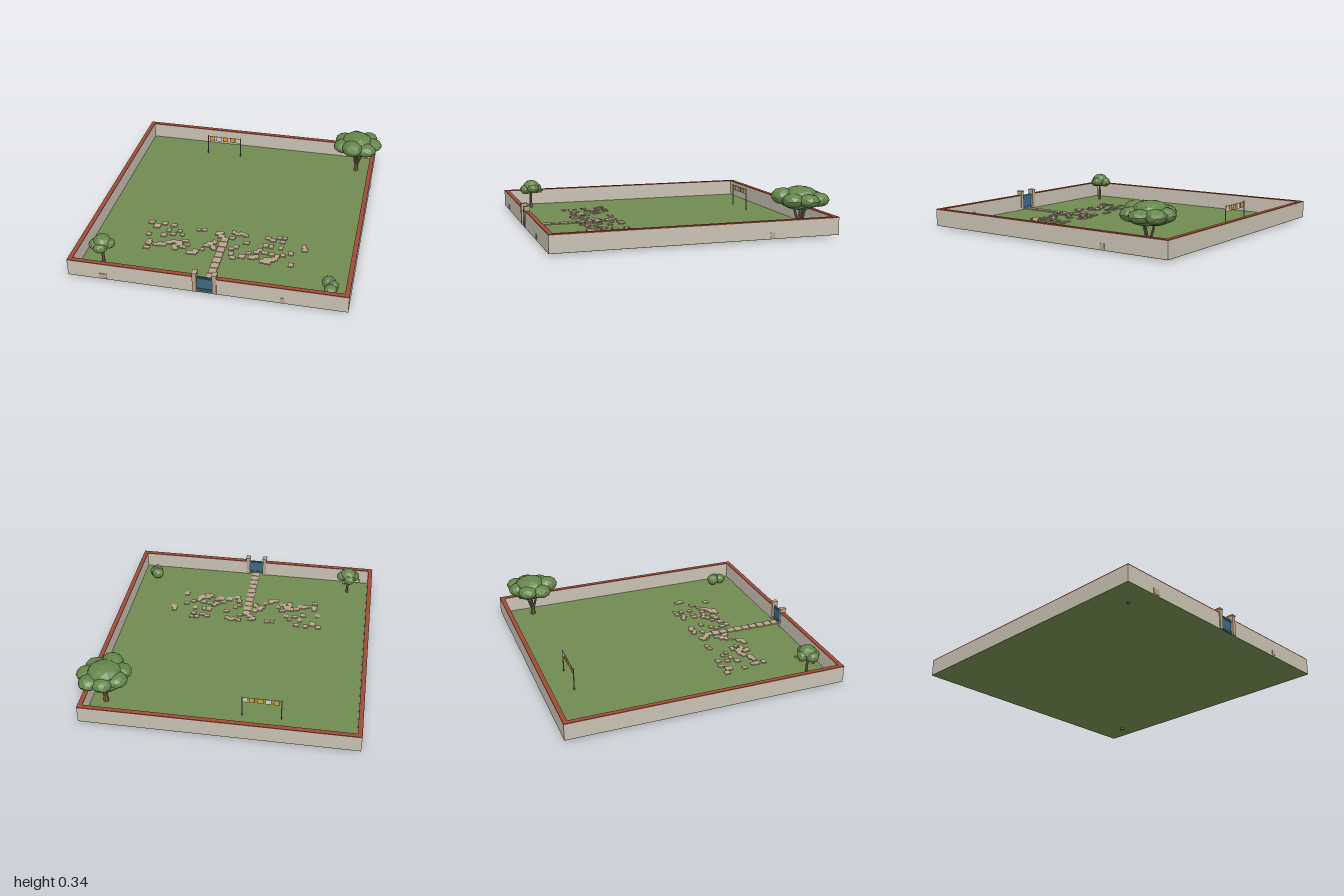
import * as THREE from 'three';

const mat = (name, color, flat = false) => {
  const m = new THREE.MeshStandardMaterial({ color, flatShading: flat });
  m.name = name;
  return m;
};

export function createModel() {
  const M = {
    wall: mat('plaster', 0xc9c1b3),
    roof: mat('terracotta', 0x9c4b38),
    grass: mat('grass', 0x708a50),
    gate: mat('gateBlue', 0x3f6884),
    stone: mat('sandstone', 0xb8a58a),
    leaf: mat('leaves', 0x64854a, true),
    bark: mat('bark', 0x7a6450, true),
    gold: mat('gold', 0xd6a030),
    cloth: mat('cloth', 0xd6d0c8),
    metal: mat('metal', 0x8a8290),
  };
  const model = new THREE.Group();
  model.name = 'walledGarden';
  const group = (name) => {
    const g = new THREE.Group();
    g.name = name;
    model.add(g);
    return g;
  };
  const add = (parent, name, geo, material, x, y, z) => {
    const m = new THREE.Mesh(geo, material);
    m.name = name;
    m.position.set(x, y, z);
    parent.add(m);
    return m;
  };
  // box given by its minimum and maximum corners
  const box = (parent, name, material, x0, x1, y0, y1, z0, z1) =>
    add(parent, name, new THREE.BoxGeometry(x1 - x0, y1 - y0, z1 - z0), material,
      (x0 + x1) / 2, (y0 + y1) / 2, (z0 + z1) / 2);
  // faceted ellipsoid
  const blob = (parent, name, material, [x, y, z, rx, ry, rz], turn = 0, detail = 1) => {
    const m = add(parent, name, new THREE.IcosahedronGeometry(1, detail), material, x, y, z);
    m.scale.set(rx, ry, rz);
    m.rotation.y = turn;
    return m;
  };
  // tapered limb between two points
  const limb = (parent, name, material, a, b, r0, r1) => {
    const p = new THREE.Vector3(...a), q = new THREE.Vector3(...b);
    const d = q.clone().sub(p);
    const mid = p.clone().add(q).multiplyScalar(0.5);
    const m = add(parent, name, new THREE.CylinderGeometry(r1, r0, d.length(), 6), material, mid.x, mid.y, mid.z);
    m.quaternion.setFromUnitVectors(new THREE.Vector3(0, 1, 0), d.normalize());
    return m;
  };
  let seed = 7;
  const rnd = () => (seed = (seed * 16807) % 2147483647) / 2147483647;

  // lawn
  const L = -0.98, R = 0.92, B = -1, F = 0.99, T = 0.032, G = 0.015;
  box(model, 'lawn', M.grass, L, R, 0.011, G, B, F);

  // walls with tiled coping, front wall left open for the gate
  const walls = group('boundaryWall');
  [
    ['backWall', L, R, B, B + T],
    ['leftWall', R - T, R, B + T, F - T],
    ['rightWall', L, L + T, B + T, F - T],
    ['frontWallRight', L, -0.09, F - T, F],
    ['frontWallLeft', 0.03, R, F - T, F],
  ].forEach(([name, x0, x1, z0, z1]) => {
    box(walls, name, M.wall, x0, x1, 0.0135, 0.127, z0, z1);
    box(walls, name + 'Coping', M.roof, x0, x1, 0.127, 0.134, z0, z1);
  });
  // repaired patches on the outside of the walls
  box(walls, 'wallPatch', M.stone, -0.757, -0.705, 0.02, 0.056, F, F + 0.004);
  box(walls, 'wallPatch', M.stone, 0.475, 0.506, 0.02, 0.056, F, F + 0.004);
  box(walls, 'wallPatch', M.stone, R, R + 0.004, 0.02, 0.056, -0.528, -0.492);

  // gate and its posts
  const gate = group('gate');
  for (const x of [-0.097, 0.038]) {
    box(gate, 'gatePost', M.stone, x - 0.014, x + 0.014, G, 0.157, 0.955, 0.997);
    box(gate, 'gatePostCap', M.stone, x - 0.017, x + 0.017, 0.157, 0.166, 0.952, 1);
  }
  box(gate, 'gatePanel', M.gate, -0.083, 0.024, 0.018, 0.13, 0.972, 0.981);
  for (const y of [0.03, 0.115])
    box(gate, 'gateRail', M.gate, -0.083, 0.024, y - 0.006, y + 0.006, 0.967, 0.986);

  // straight slab path from the gate
  const paving = group('paving');
  for (let i = 0; i < 10; i++) {
    const z = 0.39 + i * 0.062, w = 0.025 + rnd() * 0.007;
    box(paving, 'pathSlab', M.stone, -0.03 - w, -0.03 + w, G, 0.022, z - 0.028, z + 0.028);
  }
  // loose stones in rows: z, then the x of each stone (hundredths)
  const rows = {
    29: [-60, -50, -43, 2, 8, 35, 39],
    31: [-55, -24, -20, -7, 5, 11, 27],
    33: [-55, -9, 31, 38],
    36: [-45, -37, 2, 54, -6],
    40: [-34, -41, 13, 27, 31, 38, 55],
    43: [-58, -47, -9],
    46: [-30, -12, 7, 24, 46],
    49: [-38, -34, -14, -9, 4, 22, 28, 33, 41],
    51: [-55, -41, -33, -27, -8, 17, 37],
    54: [-55, -50, -47, -44, -36, -30, -16, 5, 23, 36],
    56: [-35, -20, 13, 20, 30, 34],
    59: [-55, -24, -21, 7, 32, 28, 48],
  };
  for (const [z, xs] of Object.entries(rows)) {
    for (const x of xs) {
      const w = 0.03 + rnd() * 0.02, d = 0.028 + rnd() * 0.016;
      add(paving, 'looseStone', new THREE.BoxGeometry(w, 0.008, d), M.stone,
        x / 100, G + 0.003 + rnd() * 0.001, z / 100 + (rnd() - 0.5) * 0.012);
    }
  }

  // washing line
  const line = group('washingLine');
  const lz = -0.78;
  for (const x of [-0.435, -0.165])
    limb(line, 'linePole', M.metal, [x, G, lz], [x, 0.183, lz], 0.004, 0.004);
  limb(line, 'line', M.metal, [-0.435, 0.177, lz], [-0.165, 0.177, lz], 0.0015, 0.0015);
  [[-0.4, 'gold'], [-0.345, 'cloth'], [-0.29, 'gold'], [-0.232, 'gold'], [-0.187, 'cloth']].forEach(([x, c]) =>
    box(line, 'hangingCloth', M[c], x - 0.02, x + 0.02, 0.138, 0.176, lz - 0.002, lz + 0.002));

  // large spreading tree
  const tree = group('largeTree');
  limb(tree, 'trunk', M.bark, [0.785, 0, -0.77], [0.785, 0.07, -0.77], 0.02, 0.015);
  [[0.74, -0.79], [0.785, -0.72], [0.835, -0.77], [0.79, -0.82]].forEach(([x, z]) =>
    limb(tree, 'branch', M.bark, [0.785, 0.045, -0.77], [x, 0.21, z], 0.011, 0.007));
  [
    [0.775, 0.275, -0.775, 0.12, 0.063, 0.12],
    [0.68, 0.255, -0.82, 0.075, 0.048, 0.075],
    [0.675, 0.25, -0.72, 0.075, 0.05, 0.075],
    [0.75, 0.27, -0.655, 0.085, 0.058, 0.076],
    [0.85, 0.25, -0.69, 0.085, 0.05, 0.075],
    [0.9, 0.25, -0.78, 0.073, 0.045, 0.075],
    [0.86, 0.25, -0.87, 0.075, 0.05, 0.07],
    [0.765, 0.25, -0.875, 0.075, 0.05, 0.072],
    [0.775, 0.225, -0.775, 0.15, 0.05, 0.13],
  ].forEach((b, i) => blob(tree, 'crown', M.leaf, b, i * 0.7));

  // small fruit tree
  const fruitTree = group('fruitTree');
  limb(fruitTree, 'trunk', M.bark, [-0.79, 0.003, 0.81], [-0.79, 0.15, 0.81], 0.012, 0.008);
  [
    [-0.79, 0.18, 0.805, 0.065, 0.055, 0.065],
    [-0.83, 0.165, 0.82, 0.05, 0.04, 0.05],
    [-0.745, 0.17, 0.8, 0.045, 0.035, 0.045],
    [-0.8, 0.165, 0.76, 0.045, 0.04, 0.038],
    [-0.79, 0.16, 0.85, 0.05, 0.038, 0.042],
  ].forEach((b, i) => blob(fruitTree, 'crown', M.leaf, b, i * 0.9));
  [[-0.883, 0.145, 0.79], [-0.878, 0.14, 0.81], [-0.87, 0.15, 0.83], [-0.77, 0.15, 0.722],
    [-0.755, 0.14, 0.735], [-0.86, 0.135, 0.775]].forEach((p) =>
    blob(fruitTree, 'fruit', M.gold, [...p, 0.008, 0.008, 0.008], 0, 0));

  // flowering bush
  const bush = group('floweringBush');
  [
    [0.765, 0.065, 0.775, 0.048, 0.045, 0.045],
    [0.785, 0.055, 0.845, 0.045, 0.04, 0.045],
    [0.795, 0.06, 0.805, 0.04, 0.04, 0.04],
  ].forEach((b, i) => blob(bush, 'foliage', M.leaf, b, i * 0.8));
  [[0.76, 0.108, 0.77], [0.785, 0.1, 0.795], [0.745, 0.1, 0.785], [0.775, 0.1, 0.81]].forEach((p) =>
    blob(bush, 'flower', M.cloth, [...p, 0.009, 0.007, 0.009], 0, 0));

  return model;
}
